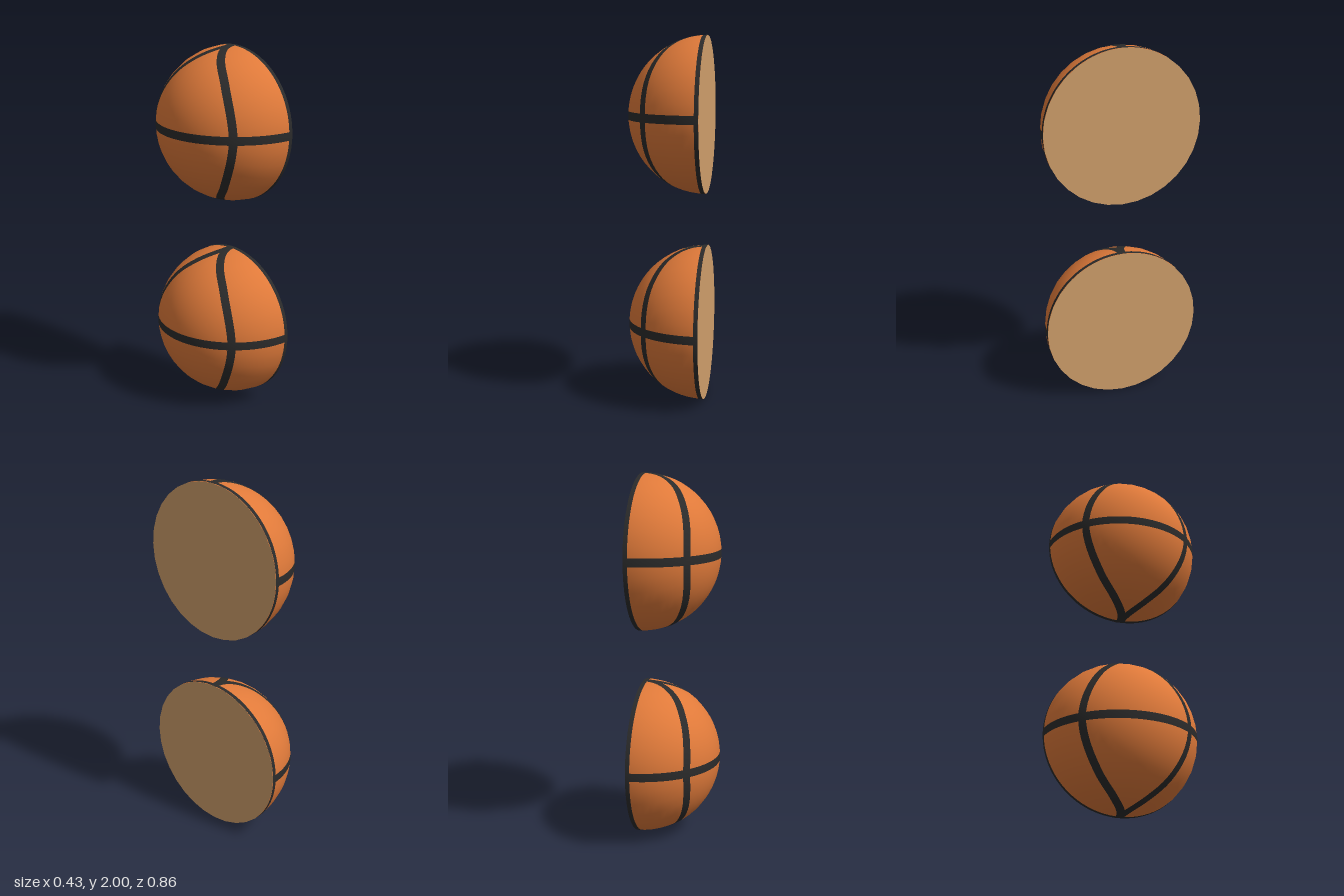
import * as THREE from 'three';

const R = 0.427;      // ball radius
const FACE_X = 0.2135; // plane of the flat cut

const orange = new THREE.MeshStandardMaterial({ color: 0xe07a3a });
orange.name = 'orange rubber';
const black = new THREE.MeshStandardMaterial({ color: 0x2b2b2b });
black.name = 'black seam';
const tan = new THREE.MeshStandardMaterial({ color: 0xd2a06c });
tan.name = 'tan cut face';

// Thin band lying on the ball, following a curve of points around its centre
function seamGeometry(curve, halfWidth, steps) {
  const across = 4, pos = [], nor = [], idx = [];
  for (let i = 0; i <= steps; i++) {
    const p = curve.getPoint(i / steps).normalize();
    const side = p.clone().cross(curve.getTangent(i / steps)).normalize();
    for (let j = 0; j <= across; j++) {
      const w = halfWidth * (2 * j / across - 1) / R;
      const n = p.clone().addScaledVector(side, w).normalize();
      nor.push(n.x, n.y, n.z);
      n.multiplyScalar(R * 1.0015);
      pos.push(n.x, n.y, n.z);
      if (i < steps && j < across) {
        const a = i * (across + 1) + j, b = a + across + 1;
        idx.push(a, b, a + 1, b, b + 1, a + 1);
      }
    }
  }
  const g = new THREE.BufferGeometry();
  g.setAttribute('position', new THREE.Float32BufferAttribute(pos, 3));
  g.setAttribute('normal', new THREE.Float32BufferAttribute(nor, 3));
  g.setIndex(idx);
  return g;
}

// Circle or arc about the x axis (rim) or the y axis (middle)
function arc(fn, closed) {
  const pts = [];
  const n = 32;
  for (let i = 0; i < n + (closed ? 0 : 1); i++) pts.push(fn(i / n));
  return new THREE.CatmullRomCurve3(pts, closed);
}

// Side seam: leaves the top of the rim, swings out, returns to the bottom
function sideSeam(sign) {
  const half = [[0, 0], [0.06, 0.007], [0.12, 0.032], [0.2, 0.098], [0.267, 0.195]];
  const upper = half.map(([d, z]) =>
    new THREE.Vector3(-d, Math.sqrt(R * R - d * d - z * z), sign * z));
  const lower = upper.map((p) => new THREE.Vector3(p.x, -p.y, p.z)).reverse();
  return new THREE.CatmullRomCurve3(
    [...upper, new THREE.Vector3(-0.307, 0, sign * 0.2968), ...lower]);
}

function createHalfBall() {
  const group = new THREE.Group();
  const add = (name, geometry, material) => {
    const mesh = new THREE.Mesh(geometry, material);
    mesh.name = name;
    group.add(mesh);
  };

  // Dome bulging to -x, closed by a flat disc facing +x
  add('dome', new THREE.SphereGeometry(R, 32, 16, 0, Math.PI * 2, 0, Math.PI / 2)
    .rotateZ(Math.PI / 2), orange);
  add('cutFace', new THREE.CircleGeometry(R, 32).rotateY(Math.PI / 2), tan);

  // Seams
  const rim = arc((t) => {
    const a = t * Math.PI * 2;
    return new THREE.Vector3(-0.0115, R * Math.cos(a), R * Math.sin(a));
  }, true);
  add('rimSeam', seamGeometry(rim, 0.0115, 96), black);

  const middle = arc((t) => {
    const a = t * Math.PI;
    return new THREE.Vector3(-R * Math.sin(a), 0, R * Math.cos(a));
  }, false);
  add('middleSeam', seamGeometry(middle, 0.023, 64), black);

  for (const sign of [1, -1]) {
    add(sign > 0 ? 'frontSeam' : 'backSeam', seamGeometry(sideSeam(sign), 0.0225, 80), black);
  }
  return group;
}

export function createModel() {
  const model = new THREE.Group();
  model.name = 'halfBalls';
  [['lowerHalfBall', R], ['upperHalfBall', 2 - R]].forEach(([name, y]) => {
    const ball = createHalfBall();
    ball.name = name;
    ball.position.set(FACE_X, y, 0);
    model.add(ball);
  });
  return model;
}
